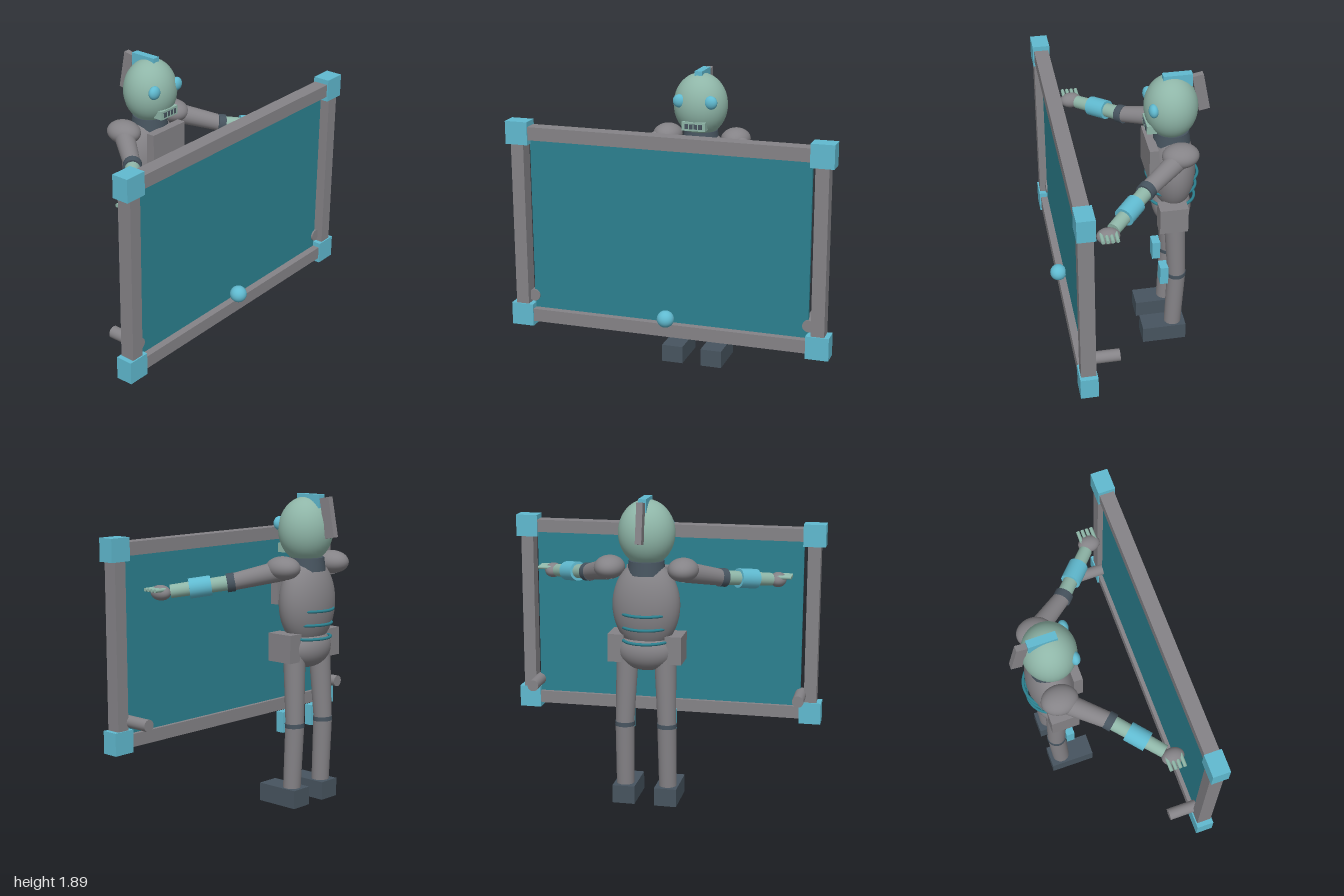
import * as THREE from 'three';

const paint = (name, color) => {
  const m = new THREE.MeshStandardMaterial({ color });
  m.name = name;
  return m;
};

export function createModel() {
  const model = new THREE.Group();
  model.name = 'robotWithBoard';
  const grey = paint('metal grey', 0x858387);
  const green = paint('pale green', 0x8fb6a8);
  const blue = paint('light blue', 0x60bad0);
  const teal = paint('deep teal', 0x2c8190);
  const dark = paint('dark slate', 0x47545f);

  const add = (name, geo, mat, x = 0, y = 0, z = 0, parent = model) => {
    const mesh = new THREE.Mesh(geo, mat);
    mesh.name = name;
    mesh.position.set(x, y, z);
    parent.add(mesh);
    return mesh;
  };
  const box = (name, mat, w, h, d, x, y, z, parent) =>
    add(name, new THREE.BoxGeometry(w, h, d), mat, x, y, z, parent);
  const ball = (name, mat, rx, ry, rz, x, y, z, parent) =>
    add(name, new THREE.SphereGeometry(1, 32, 24).scale(rx, ry, rz), mat, x, y, z, parent);
  // Cylinder running from point a to point b
  const rod = (name, mat, a, b, ra, rb, parent) => {
    const p = new THREE.Vector3(...a), q = new THREE.Vector3(...b);
    const dir = q.clone().sub(p);
    const mid = p.clone().add(q).multiplyScalar(0.5);
    const mesh = add(name, new THREE.CylinderGeometry(rb, ra, dir.length(), 24), mat, mid.x, mid.y, mid.z, parent);
    mesh.quaternion.setFromUnitVectors(new THREE.Vector3(0, 1, 0), dir.normalize());
    return mesh;
  };

  // Board: panel, rails, posts, corner blocks, pegs and knob
  const board = new THREE.Group();
  board.name = 'board';
  model.add(board);
  box('panel', teal, 1.73, 1.09, 0.02, 0, 1.005, 0.39, board);
  for (const y of [0.43, 1.58]) {
    box('rail', grey, 1.74, 0.08, 0.09, 0, y, 0.4, board);
    for (const s of [-1, 1]) box('cornerBlock', blue, 0.14, 0.14, 0.106, s * 0.93, y, 0.4, board);
  }
  for (const s of [-1, 1]) {
    box('post', grey, 0.08, 1.05, 0.09, s * 0.93, 1.005, 0.4, board);
    rod('peg', grey, [s * 0.867, 0.547, 0.2], [s * 0.867, 0.547, 0.41], 0.037, 0.037, board);
  }
  ball('knob', blue, 0.052, 0.052, 0.052, 0, 0.503, 0.443, board);

  // Head
  const head = new THREE.Group();
  head.name = 'head';
  model.add(head);
  ball('skull', green, 0.17, 0.198, 0.162, 0, 1.672, -0.262, head);
  box('crest', blue, 0.048, 0.08, 0.175, 0, 1.847, -0.298, head);
  box('rearFin', grey, 0.038, 0.24, 0.068, 0, 1.753, -0.44, head).rotation.x = 0.19;
  for (const s of [-1, 1]) ball('eye', blue, 0.042, 0.042, 0.03, s * 0.1, 1.71, -0.14, head);
  box('mouth', green, 0.15, 0.055, 0.06, 0, 1.56, -0.137, head);
  box('mouthSlot', dark, 0.11, 0.03, 0.006, 0, 1.56, -0.105, head);
  for (let i = -1; i <= 1; i++) box('mouthBar', green, 0.006, 0.03, 0.008, i * 0.028, 1.56, -0.104, head);

  // Torso
  rod('neck', dark, [0, 1.43, -0.27], [0, 1.51, -0.27], 0.115, 0.105);
  ball('chest', grey, 0.205, 0.275, 0.14, 0, 1.24, -0.275);
  box('chestPlate', grey, 0.29, 0.23, 0.055, 0, 1.34, -0.138);
  [[1.2, 0.157], [1.115, 0.148], [1.03, 0.142]].forEach(([y, r]) => {
    add('ribRing', new THREE.TorusGeometry(r, 0.009, 10, 48).rotateX(Math.PI / 2), teal, 0, y, -0.275);
  });
  ball('pelvis', grey, 0.175, 0.125, 0.12, 0, 0.965, -0.275);

  for (const s of [-1, 1]) {
    // Leg
    const leg = new THREE.Group();
    leg.name = s > 0 ? 'leftLeg' : 'rightLeg';
    model.add(leg);
    box('hipBlock', grey, 0.1, 0.17, 0.175, s * 0.175, 0.98, -0.252, leg);
    rod('thigh', grey, [s * 0.115, 0.95, -0.275], [s * 0.13, 0.5, -0.293], 0.068, 0.056, leg);
    rod('kneeBand', dark, [s * 0.13, 0.488, -0.293], [s * 0.13, 0.514, -0.292], 0.06, 0.06, leg);
    rod('shin', grey, [s * 0.13, 0.5, -0.293], [s * 0.133, 0.1, -0.273], 0.058, 0.054, leg);
    box('kneePad', blue, 0.08, 0.127, 0.052, s * 0.13, 0.513, -0.208, leg);
    box('foot', dark, 0.138, 0.112, 0.28, s * 0.13, 0.056, -0.21, leg);

    // Arm
    const arm = new THREE.Group();
    arm.name = s > 0 ? 'leftArm' : 'rightArm';
    model.add(arm);
    const shoulder = [s * 0.225, 1.45, -0.28];
    const elbow = [s * 0.415, 1.376, -0.04];
    const wrist = [s * 0.68, 1.327, 0.2];
    const along = (t) => elbow.map((v, i) => v + (wrist[i] - v) * t);
    ball('shoulder', grey, 0.092, 0.07, 0.111, s * 0.223, 1.462, -0.28, arm);
    rod('upperArm', grey, shoulder, elbow, 0.063, 0.05, arm);
    rod('elbowBand', dark, along(-0.06), along(0.07), 0.056, 0.056, arm);
    rod('forearm', green, elbow, wrist, 0.045, 0.04, arm);
    rod('cuff', blue, along(0.33), along(0.69), 0.06, 0.06, arm);
    ball('hand', grey, 0.052, 0.046, 0.068, s * 0.722, 1.32, 0.237, arm);
    for (let i = 0; i < 4; i++) {
      const z = 0.195 + i * 0.028;
      rod('finger', green, [s * 0.72, 1.342, z], [s * 0.808, 1.342, z], 0.012, 0.011, arm);
    }
  }
  return model;
}
